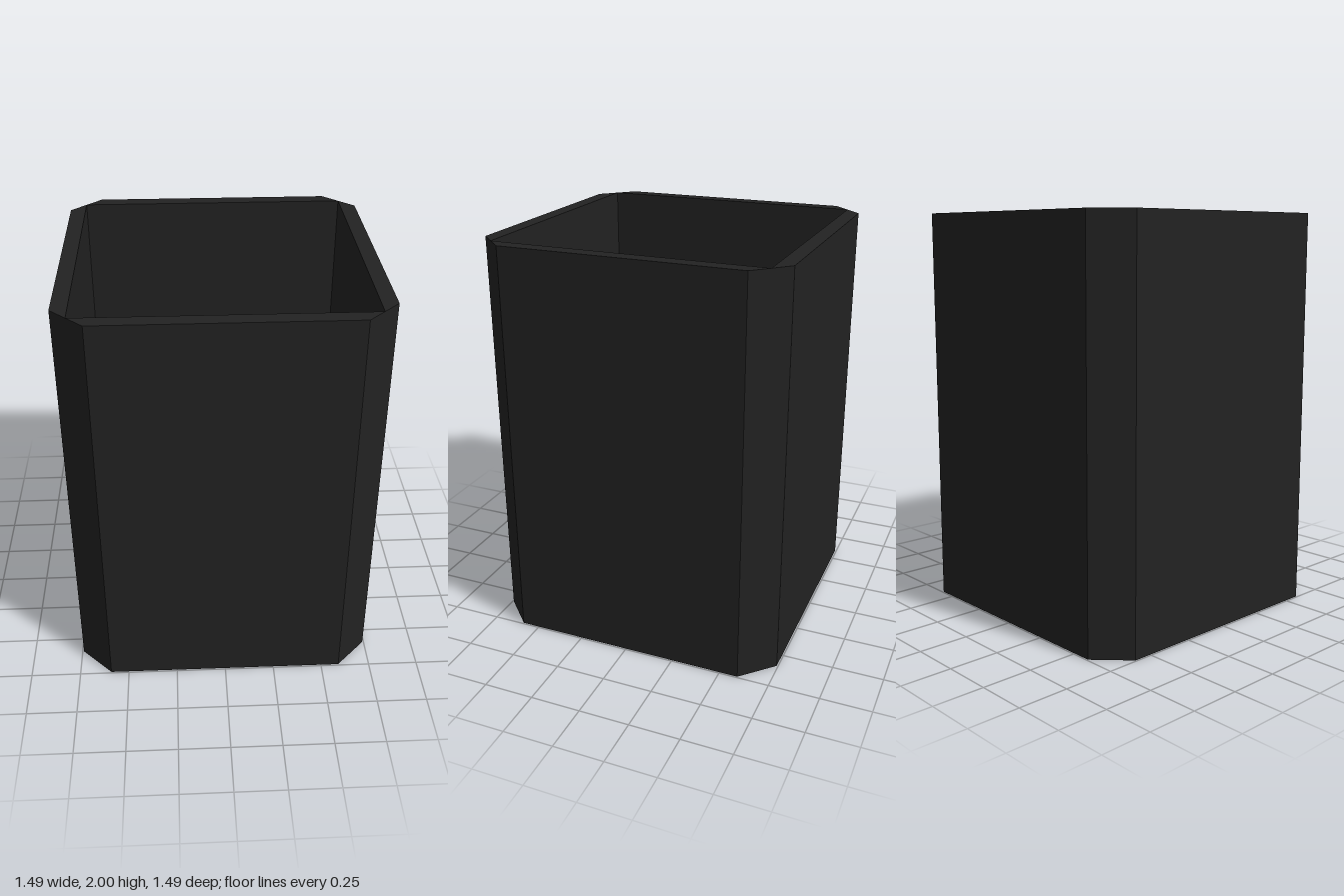
import * as THREE from 'three';

// Open square sleeve: four mitred walls whose slanted ends form the chamfered corners.
export function createModel() {
  const height = 2;
  const outer = 0.743; // outer face distance from the axis
  const inner = 0.667; // inner face distance from the axis
  const flat = 2 * inner - outer; // half width of each outer face

  const group = new THREE.Group();
  group.name = 'squareSleeve';
  const material = new THREE.MeshStandardMaterial({ color: 0x222222, flatShading: true });

  // Wall cross-section, extruded upwards
  const section = new THREE.Shape([
    new THREE.Vector2(-inner, -inner),
    new THREE.Vector2(-flat, -outer),
    new THREE.Vector2(flat, -outer),
    new THREE.Vector2(inner, -inner),
  ]);
  const wallGeometry = new THREE.ExtrudeGeometry(section, { depth: height, bevelEnabled: false });
  wallGeometry.rotateX(-Math.PI / 2);

  // One wall per side
  ['frontWall', 'leftWall', 'backWall', 'rightWall'].forEach((name, i) => {
    const wall = new THREE.Mesh(wallGeometry, material);
    wall.name = name;
    wall.rotation.y = (i * Math.PI) / 2;
    group.add(wall);
  });

  return group;
}
